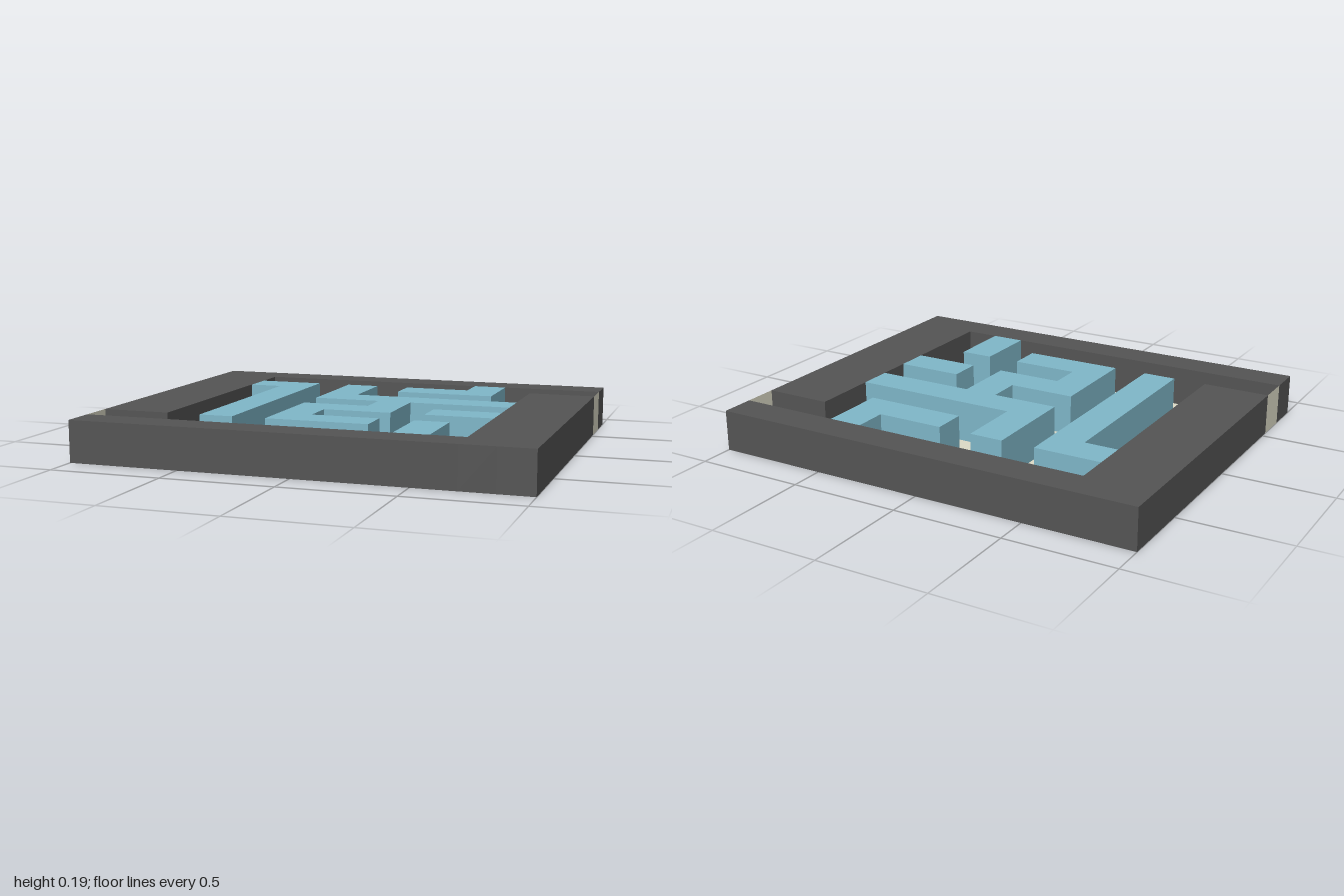
import * as THREE from 'three';

// Maze plan, back row first: # = border, b = inner wall, . = path
const PLAN = [
  '#############',
  '##.......b...',
  '##bb.b.bbb.##',
  '##.b.b.....##',
  '##.b.bbbbbb##',
  '##.b...b...##',
  '##.b.bbb.bb##',
  '##.b.b.....##',
  '##.b.bbb.b.##',
  '.........b.##',
  '#############',
];
const ROWS = PLAN.length, COLS = PLAN[0].length;
const CELL = 2 / COLS, HEIGHT = 0.185;
const SIDES = [[1, 0], [-1, 0], [0, 1], [0, -1]];

const cellAt = (c, r) => (PLAN[r] && PLAN[r][c]) || ' ';

// Horizontal square covering one cell, facing up
function flatQuad(c, r, y) {
  const x = (c - COLS / 2) * CELL, z = (r - ROWS / 2) * CELL;
  const X = x + CELL, Z = z + CELL;
  return [x, y, z, x, y, Z, X, y, Z, x, y, z, X, y, Z, X, y, z];
}

// Vertical panel on one side of a cell, facing outward along (dx, dz)
function sideQuad(c, r, dx, dz) {
  const h = CELL / 2;
  const mx = (c + 0.5 - COLS / 2) * CELL + dx * h;
  const mz = (r + 0.5 - ROWS / 2) * CELL + dz * h;
  const ax = mx - dz * h, az = mz + dx * h;
  const bx = mx + dz * h, bz = mz - dx * h;
  return [ax, 0, az, bx, 0, bz, bx, HEIGHT, bz, ax, 0, az, bx, HEIGHT, bz, ax, HEIGHT, az];
}

// Collect the open-bottomed shell of every cell of one kind
function buildPart(name, kind, color) {
  const isPath = kind === '.';
  const positions = [];
  for (let r = 0; r < ROWS; r++) {
    for (let c = 0; c < COLS; c++) {
      if (cellAt(c, r) !== kind) continue;
      positions.push(...flatQuad(c, r, isPath ? 0 : HEIGHT));
      for (const [dx, dz] of SIDES) {
        const next = cellAt(c + dx, r + dz);
        // walls end at paths and the outside; paths are closed only at the two gates
        if (next === ' ' || (!isPath && next === '.')) positions.push(...sideQuad(c, r, dx, dz));
      }
    }
  }
  const geometry = new THREE.BufferGeometry();
  geometry.setAttribute('position', new THREE.Float32BufferAttribute(positions, 3));
  geometry.computeVertexNormals();
  const material = new THREE.MeshStandardMaterial({ color, side: THREE.DoubleSide });
  const mesh = new THREE.Mesh(geometry, material);
  mesh.name = name;
  return mesh;
}

export function createModel() {
  const group = new THREE.Group();
  group.name = 'maze';
  group.add(
    buildPart('border', '#', 0x555555),
    buildPart('innerWalls', 'b', 0x80b8ca),
    buildPart('pathAndGates', '.', 0xdedcc8),
  );
  return group;
}
